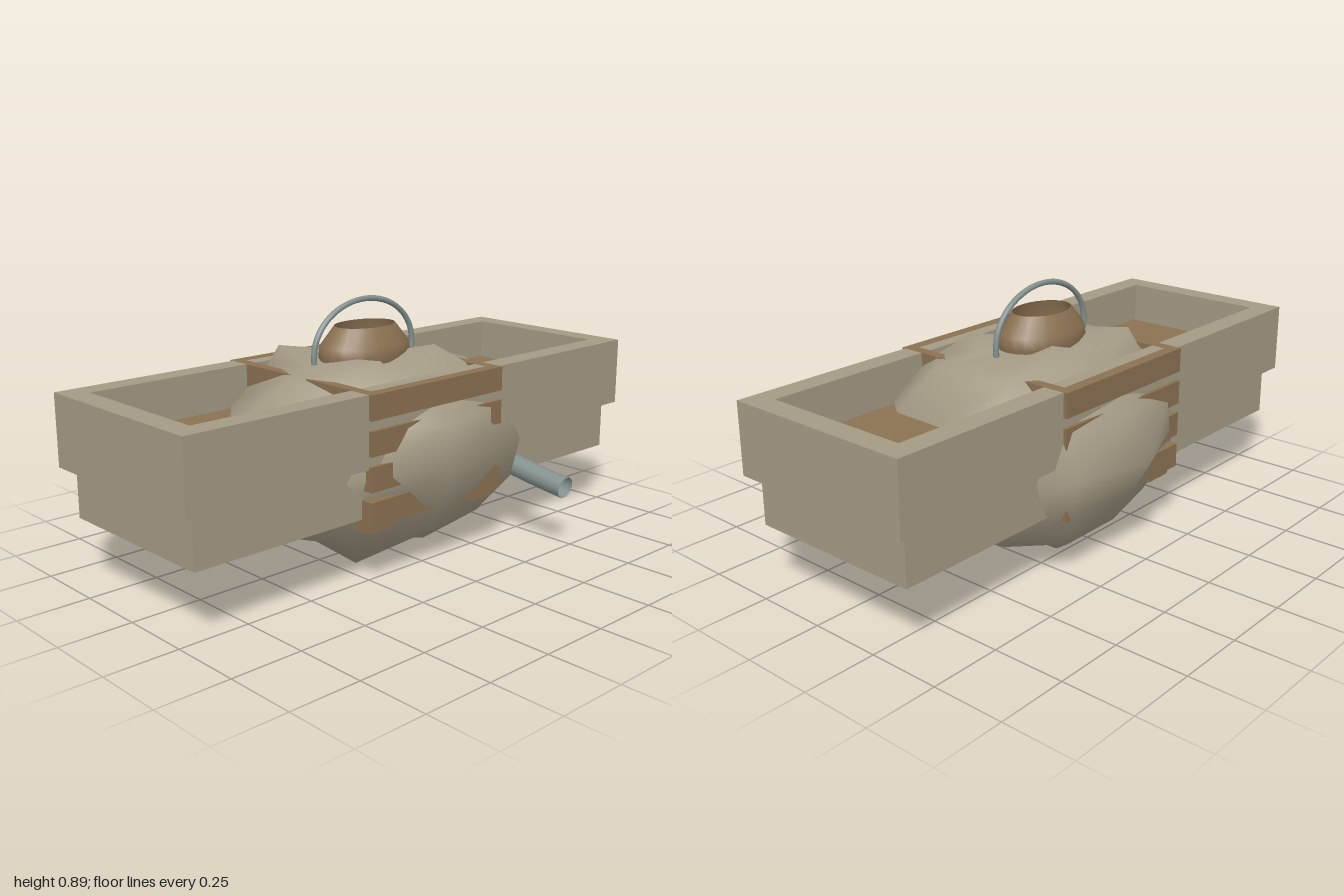
import * as THREE from 'three';

export function createModel() {
  const model = new THREE.Group();
  const material = (name, color) => {
    const m = new THREE.MeshStandardMaterial({ color });
    m.name = name;
    return m;
  };
  const stone = material('stone', 0xa49b85);
  const wood = material('wood', 0x8b7152);
  const metal = material('metal', 0x84928f);
  metal.side = THREE.DoubleSide;
  const cz = -0.038; // depth centre shared by most parts

  const add = (name, geometry, mat, x = 0, y = 0, z = 0) => {
    const mesh = new THREE.Mesh(geometry, mat);
    mesh.name = name;
    mesh.position.set(x, y, z);
    model.add(mesh);
    return mesh;
  };
  const rect = (Type, w, d) => new Type([
    new THREE.Vector2(-w, -d), new THREE.Vector2(w, -d),
    new THREE.Vector2(w, d), new THREE.Vector2(-w, d),
  ]);
  // Upright rectangular frame standing on y = 0
  const frame = (w, d, innerW, innerD, height) => {
    const shape = rect(THREE.Shape, w, d);
    shape.holes.push(rect(THREE.Path, innerW, innerD));
    return new THREE.ExtrudeGeometry(shape, { depth: height, bevelEnabled: false }).rotateX(-Math.PI / 2);
  };

  // Long trough: hollow rim, narrower base and wooden floor
  add('troughRim', frame(1, 0.35, 0.92, 0.27, 0.245), stone, 0, 0.41, cz);
  add('troughBase', new THREE.BoxGeometry(1.915, 0.172, 0.636), stone, 0, 0.324, cz);
  add('troughFloor', new THREE.BoxGeometry(1.82, 0.1, 0.54), wood, 0, 0.46, cz);

  // Crate: four stacked bands and corner feet
  for (let i = 0; i < 4; i++) {
    add('crateBand', frame(0.308, 0.363, 0.27, 0.322, 0.084), wood, 0, 0.22 + i * 0.1172, cz);
  }
  for (const x of [-0.24, 0.24]) for (const z of [-0.28, 0.28]) {
    add('crateFoot', new THREE.BoxGeometry(0.11, 0.04, 0.11), wood, x, 0.207, cz + z);
  }

  // Boulder: ten-sided loops; radii run from +x through +z and around,
  // and the corner points of a loop are lifted by its second number
  const directions = [[1, 0], [0.95, 0.4], [0.75, 0.66], [0, 1], [-0.75, 0.66],
    [-1, 0], [-0.75, -0.66], [0, -1], [0.62, -0.78], [0.95, -0.4]];
  const corners = [2, 4, 6, 8];
  const n = directions.length;
  const loops = [
    [0.05, -0.045, 0.21, 0.2, 0.22, 0.14, 0.24, 0.22, 0.24, 0.18, 0.22, 0.22],
    [0.11, 0, 0.42, 0.43, 0.41, 0.31, 0.34, 0.38, 0.36, 0.31, 0.4, 0.42],
    [0.24, 0, 0.49, 0.5, 0.53, 0.395, 0.45, 0.575, 0.45, 0.39, 0.46, 0.49],
    [0.37, 0, 0.5, 0.52, 0.56, 0.435, 0.5, 0.57, 0.47, 0.463, 0.51, 0.51],
    [0.52, 0, 0.5, 0.52, 0.52, 0.435, 0.45, 0.575, 0.46, 0.38, 0.45, 0.52],
    [0.65, 0, 0.37, 0.38, 0.37, 0.26, 0.34, 0.33, 0.33, 0.26, 0.33, 0.38],
    [0.68, 0.04, 0.22, 0.23, 0.25, 0.12, 0.3, 0.24, 0.29, 0.17, 0.22, 0.23],
  ];
  const points = [];
  const faces = [];
  for (const [y, lift, ...radii] of loops) {
    radii.forEach((r, i) => points.push(
      directions[i][0] * r, corners.includes(i) ? y + lift : y, directions[i][1] * r - 0.05));
  }
  const bottom = loops.length * n;
  points.push(0, 0.06, -0.05, 0, 0.68, -0.05);
  for (let i = 0; i < n; i++) {
    const j = (i + 1) % n;
    for (let k = 0; k < loops.length - 1; k++) {
      const a = k * n + i, b = k * n + j;
      faces.push(a, a + n, b, b, a + n, b + n);
    }
    faces.push(bottom, i, j, bottom + 1, bottom - n + j, bottom - n + i);
  }
  const boulder = new THREE.BufferGeometry();
  boulder.setAttribute('position', new THREE.Float32BufferAttribute(points, 3));
  boulder.setIndex(faces);
  boulder.computeVertexNormals();
  add('boulder', boulder, stone);

  // Oval hollow collar on top
  const profile = [[0.115, 0.65], [0.126, 0.69], [0.122, 0.73], [0.084, 0.795], [0.08, 0.795], [0.1, 0.73], [0.1, 0.65]];
  const collar = new THREE.LatheGeometry(profile.map(([r, y]) => new THREE.Vector2(r, y)), 24);
  collar.scale(1.45, 1, 1);
  add('collar', collar, wood, 0, 0, cz);

  // Arched carrying handle
  const arch = [];
  for (let i = 0; i <= 12; i++) {
    const a = Math.PI * (1 - i / 12);
    arch.push(new THREE.Vector3(0.23 * Math.cos(a), 0.71 + 0.172 * Math.sin(a), cz));
  }
  arch.unshift(new THREE.Vector3(-0.228, 0.66, cz));
  arch.push(new THREE.Vector3(0.228, 0.66, cz));
  add('handle', new THREE.TubeGeometry(new THREE.CatmullRomCurve3(arch), 40, 0.01, 8), metal);

  // Drooping open spout
  const spout = new THREE.CatmullRomCurve3([
    new THREE.Vector3(0.45, 0.275, 0.2), new THREE.Vector3(0.45, 0.26, 0.29),
    new THREE.Vector3(0.45, 0.243, 0.4), new THREE.Vector3(0.45, 0.229, 0.507),
  ]);
  add('spout', new THREE.TubeGeometry(spout, 10, 0.039, 10), metal);

  return model;
}
